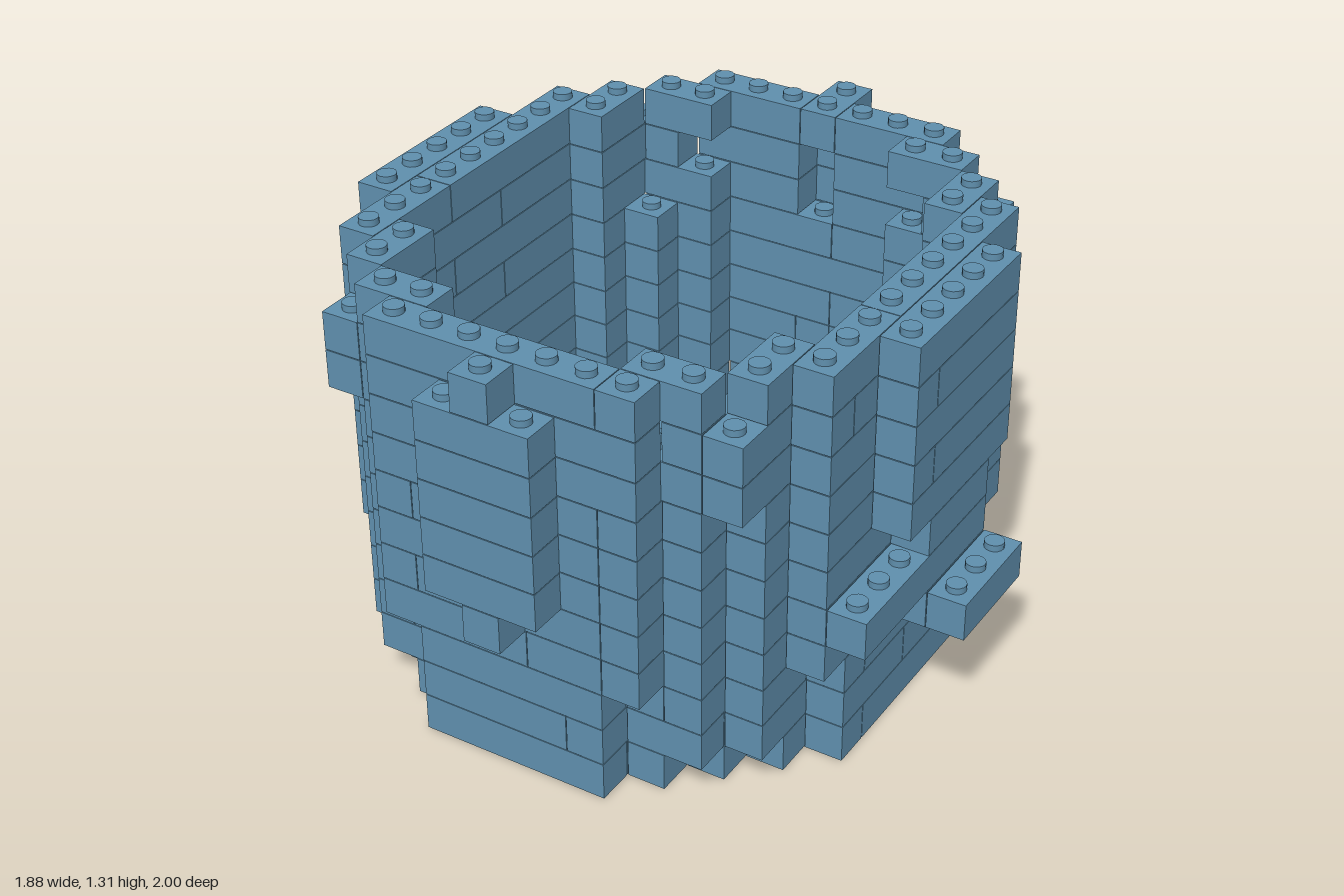
import * as THREE from 'three';
import { mergeGeometries } from 'three/addons/utils/BufferGeometryUtils.js';

const P = 2 / 17;            // stud pitch, also the height of one course
const COURSES = 11;
const CENTRE_X = -P / 2;     // the side grip shifts the pot off the middle
const GAP = 0.0025;          // seam between bricks

// Half widths of the full outline at ground level, by distance from the middle row
const BASE = [6, 6, 6, 6, 5, 4, 3, 2];

// Cells that step out beyond the base: [first course, last course]
const FLARE = {
  '5,5': [1, 10], '4,6': [1, 10], '6,4': [3, 10], '3,7': [3, 10], '5,6': [8, 9],
  '7,0': [3, 10], '7,1': [3, 10], '7,2': [6, 10], '0,8': [4, 10], '1,8': [5, 9],
};

// Inner posts and recesses: test for the courses that are present
const INNER = {
  '5,4': () => true,
  '4,5': (k) => k <= 7,
  '3,6': (k) => k !== 9,
  '0,7': (k) => k <= 7 || k === 10,
};

function filled(i, j, k) {
  if (k < 0 || k >= COURSES) return false;
  // grip and small ledge on the left side
  if (i === 8) return k === 3 && Math.abs(j) <= 1;
  if (i === 7 && k === 4 && j >= 2 && j <= 4) return true;
  const a = Math.abs(i), b = Math.abs(j), key = `${a},${b}`;
  if (FLARE[key]) return k >= FLARE[key][0] && k <= FLARE[key][1];
  if (b > 7 || a > BASE[b]) return false;
  if (k < 2) return true;    // solid floor
  if (INNER[key]) return INNER[key](k);
  return a === 6 || b === 7; // wall
}

// One brick covering n cells along x or z
function brick(i, j, k, n, alongX) {
  const w = (alongX ? n : 1) * P, d = (alongX ? 1 : n) * P;
  const shift = (n - 1) / 2;
  return new THREE.BoxGeometry(w - GAP, P - GAP, d - GAP).translate(
    CENTRE_X + (i + (alongX ? shift : 0)) * P,
    (k + 0.5) * P,
    (j + (alongX ? 0 : shift)) * P
  );
}

// Lay a course of bricks, up to `longest` cells each
function course(k, longest) {
  const parts = [], used = new Set();
  const free = (i, j) => filled(i, j, k) && !used.has(`${i},${j}`);
  for (let j = -8; j <= 8; j++) {
    for (let i = -8; i <= 8; i++) {
      if (!free(i, j)) continue;
      const run = (di, dj) => {
        let n = 1;
        while (n < longest && free(i + di * n, j + dj * n)) n++;
        return n;
      };
      const nx = run(1, 0), nz = run(0, 1);
      const alongX = nx >= nz, n = Math.max(nx, nz);
      for (let s = 0; s < n; s++) used.add(alongX ? `${i + s},${j}` : `${i},${j + s}`);
      parts.push(brick(i, j, k, n, alongX));
    }
  }
  return mergeGeometries(parts);
}

// Round studs on every open top
function studs(k) {
  const parts = [];
  const h = 0.02;
  for (let j = -8; j <= 8; j++) {
    for (let i = -8; i <= 8; i++) {
      if (!filled(i, j, k) || filled(i, j, k + 1)) continue;
      parts.push(new THREE.CylinderGeometry(0.029, 0.029, h, 16).translate(
        CENTRE_X + i * P, (k + 1) * P + h / 2 - GAP / 2, j * P));
    }
  }
  return parts.length ? mergeGeometries(parts) : null;
}

export function createModel() {
  const group = new THREE.Group();
  group.name = 'brickPot';
  const blue = new THREE.MeshStandardMaterial({ color: 0x6090ae });
  blue.name = 'dusty blue';

  for (let k = 0; k < COURSES; k++) {
    const bricks = new THREE.Mesh(course(k, k % 2 ? 4 : 6), blue);
    bricks.name = k < 2 ? `floorCourse${k}` : k === COURSES - 1 ? 'rimCourse' : `wallCourse${k}`;
    group.add(bricks);
    const top = studs(k);
    if (top) {
      const mesh = new THREE.Mesh(top, blue);
      mesh.name = `studs${k}`;
      group.add(mesh);
    }
  }
  return group;
}
